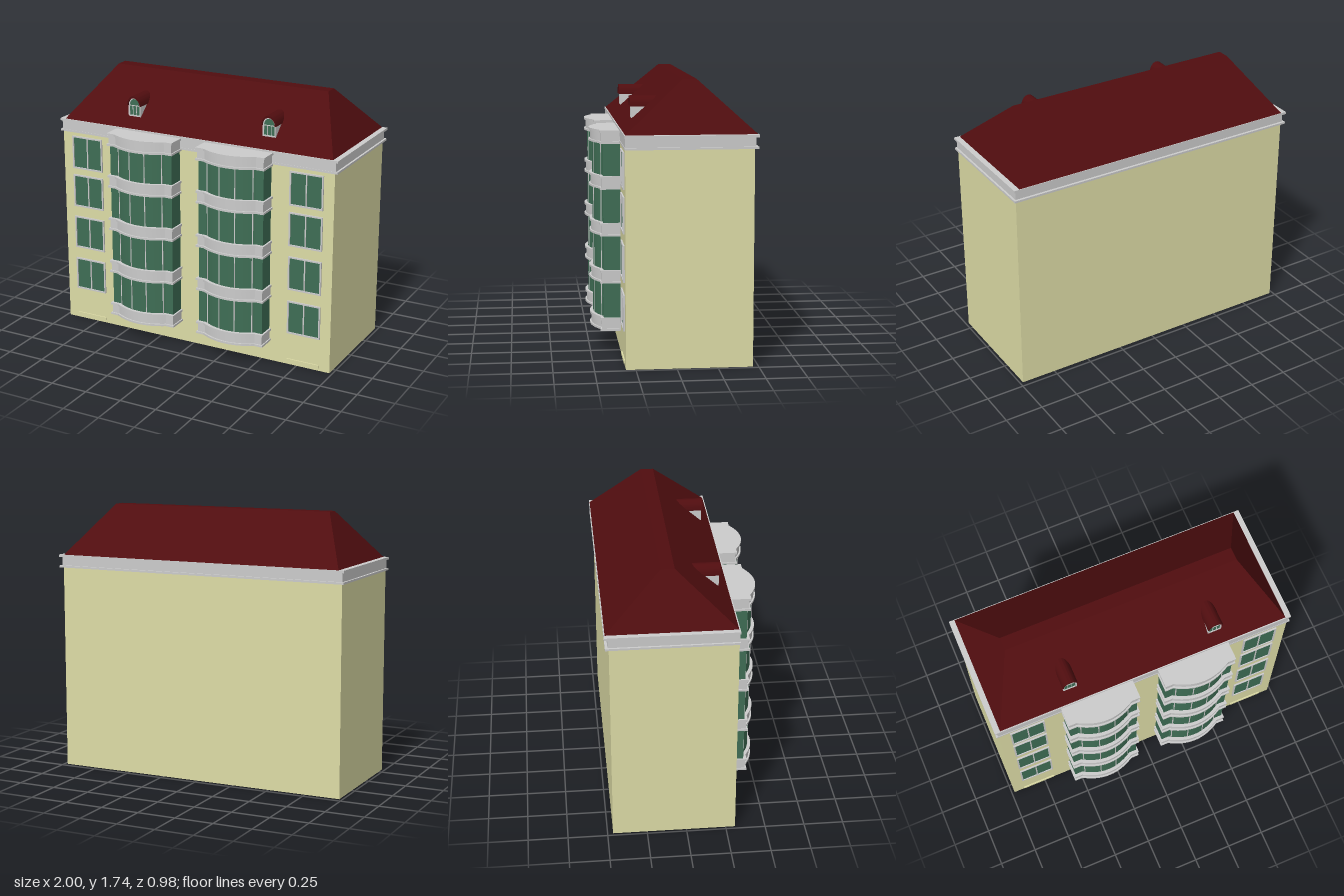
import * as THREE from 'three';
import { toCreasedNormals } from 'three/addons/utils/BufferGeometryUtils.js';

const material = (color) => new THREE.MeshStandardMaterial({ color });
const stone = material(0xcccccc);
const plaster = material(0xdddca6);
const glass = material(0x3f6e55);
const tiles = material(0x500d0f);

const FRONT = 0.31; // z of the front wall
const BACK = -0.465;

function add(parent, name, geometry, mat) {
  const mesh = new THREE.Mesh(geometry, mat);
  mesh.name = name;
  parent.add(mesh);
  return mesh;
}

// Box given by its lower and upper limits
function box(parent, name, mat, x0, x1, y0, y1, z0, z1) {
  const g = new THREE.BoxGeometry(x1 - x0, y1 - y0, z1 - z0);
  g.translate((x0 + x1) / 2, (y0 + y1) / 2, (z0 + z1) / 2);
  return add(parent, name, g, mat);
}

// Front line of a bay: flat shoulders with a shallow bow between them
function bowZ(x, shoulder, bowHalf, bow) {
  return shoulder + bow * Math.max(0, 1 - (x / bowHalf) ** 2);
}

// Upright slab with the bay's plan
function baySlab(half, shoulder, bowHalf, bow, y0, y1) {
  const s = new THREE.Shape();
  s.moveTo(-half, FRONT - 0.01);
  s.lineTo(half, FRONT - 0.01);
  s.lineTo(half, shoulder);
  for (let i = 0; i <= 14; i++) {
    const x = bowHalf * (1 - i / 7);
    s.lineTo(x, bowZ(x, shoulder, bowHalf, bow));
  }
  s.lineTo(-half, shoulder);
  s.closePath();
  const g = new THREE.ExtrudeGeometry(s, { depth: y1 - y0, bevelEnabled: false });
  g.rotateX(Math.PI / 2);
  g.translate(0, y1, 0);
  return toCreasedNormals(g, 0.25);
}

function makeBay() {
  const bay = new THREE.Group();
  bay.name = 'bayWindow';
  add(bay, 'bayGlass', baySlab(0.228, 0.417, 0.175, 0.055, 0.16, 1.39), glass);

  // Stone band with a lip above and below on each floor
  for (const y of [0.14, 0.445, 0.745, 1.04, 1.325]) {
    add(bay, 'bandLowerLip', baySlab(0.24, 0.438, 0.185, 0.055, y, y + 0.013), stone);
    add(bay, 'band', baySlab(0.232, 0.428, 0.18, 0.055, y + 0.013, y + 0.07), stone);
    add(bay, 'bandUpperLip', baySlab(0.24, 0.438, 0.185, 0.055, y + 0.07, y + 0.084), stone);
  }

  // Thin mullions
  for (const x of [-0.16, -0.055, 0.055, 0.16]) {
    const z = bowZ(x, 0.417, 0.175, 0.055);
    box(bay, 'mullion', stone, x - 0.003, x + 0.003, 0.2, 1.35, z - 0.01, z + 0.003);
  }
  return bay;
}

// Framed window with two panes
function makeWindow() {
  const w = new THREE.Group();
  w.name = 'window';
  const a = 0.114, h = 0.225, t = 0.01;
  box(w, 'pane', glass, -a + t, a - t, t, h - t, FRONT - 0.01, FRONT + 0.003);
  for (const s of [-1, 1]) {
    const x = s * (a - t / 2);
    box(w, 'frameSide', stone, x - t / 2, x + t / 2, 0, h, FRONT - 0.01, FRONT + 0.01);
  }
  for (const y of [0, h - t]) {
    box(w, 'frameRail', stone, -a + t, a - t, y, y + t, FRONT - 0.01, FRONT + 0.01);
  }
  box(w, 'frameMullion', stone, -0.004, 0.004, t, h - t, FRONT - 0.01, FRONT + 0.008);
  return w;
}

// Arched outline, straight sides topped by a half ellipse
function arch(PathType, half, y0, spring, top) {
  const p = new PathType();
  p.moveTo(-half, y0);
  p.lineTo(half, y0);
  p.lineTo(half, spring);
  p.absellipse(0, spring, half, top - spring, 0, Math.PI, false, 0);
  p.closePath();
  return p;
}

function extrudeZ(shape, z0, z1) {
  const g = new THREE.ExtrudeGeometry(shape, { depth: z1 - z0, bevelEnabled: false, curveSegments: 12 });
  g.translate(0, 0, z0);
  return toCreasedNormals(g, 0.6);
}

function makeDormer() {
  const d = new THREE.Group();
  d.name = 'dormer';
  add(d, 'dormerWall', extrudeZ(arch(THREE.Shape, 0.045, 1.483, 1.555, 1.607), 0.07, 0.232), stone);
  add(d, 'dormerGlass', extrudeZ(arch(THREE.Shape, 0.037, 1.492, 1.555, 1.6), 0.225, 0.235), glass);
  const trim = arch(THREE.Shape, 0.045, 1.483, 1.555, 1.607);
  trim.holes.push(arch(THREE.Path, 0.036, 1.492, 1.555, 1.599));
  add(d, 'dormerTrim', extrudeZ(trim, 0.228, 0.24), stone);
  box(d, 'dormerBar', stone, -0.036, 0.036, 1.552, 1.557, 0.23, 0.238);
  for (const x of [-0.013, 0.013]) {
    box(d, 'dormerBar', stone, x - 0.002, x + 0.002, 1.49, 1.553, 0.23, 0.238);
  }

  // Curved roof shell running back into the main slope
  const shell = new THREE.Shape();
  shell.moveTo(0.05, 1.555);
  shell.absellipse(0, 1.555, 0.05, 0.065, 0, Math.PI, false, 0);
  shell.lineTo(-0.043, 1.555);
  shell.absellipse(0, 1.555, 0.043, 0.051, Math.PI, 0, true, 0);
  shell.closePath();
  add(d, 'dormerRoof', extrudeZ(shell, 0.06, 0.25), tiles);
  return d;
}

// Hipped roof ending in a narrow flat ridge
function roofGeometry() {
  const g = new THREE.BoxGeometry(2, 1, 2).toNonIndexed();
  const p = g.attributes.position;
  for (let i = 0; i < p.count; i++) {
    const top = p.getY(i) > 0;
    const front = p.getZ(i) > 0;
    const x = Math.sign(p.getX(i)) * (top ? 0.765 : 0.965);
    const z = top ? (front ? -0.055 : -0.14) : (front ? 0.31 : -0.488);
    p.setXYZ(i, x, top ? 1.737 : 1.418, z);
  }
  g.computeVertexNormals();
  return g;
}

export function createModel() {
  const house = new THREE.Group();
  house.name = 'apartmentHouse';

  box(house, 'walls', plaster, -0.98, 0.98, 0, 1.338, BACK, FRONT);

  // Cornice: recessed frieze between two ledges
  box(house, 'corniceLowerLedge', stone, -0.998, 0.998, 1.335, 1.348, -0.488, 0.315);
  box(house, 'corniceFrieze', stone, -0.985, 0.985, 1.348, 1.405, -0.472, 0.312);
  box(house, 'corniceUpperLedge', stone, -1, 1, 1.405, 1.42, -0.49, 0.315);

  add(house, 'roof', roofGeometry(), tiles);

  for (const x of [-0.47, 0.5]) {
    const dormer = makeDormer();
    dormer.position.x = x;
    house.add(dormer);
  }

  for (const side of [-1, 1]) {
    const bay = makeBay();
    bay.position.x = side * 0.325;
    house.add(bay);

    for (const y of [0.22, 0.522, 0.818, 1.087]) {
      const w = makeWindow();
      w.position.set(side * 0.795, y, 0);
      house.add(w);
    }

    // Low cellar vent
    const x = side * 0.795;
    box(house, 'cellarVent', plaster, x - 0.113, x + 0.113, 0.02, 0.04, FRONT - 0.01, FRONT + 0.008);
  }
  return house;
}
